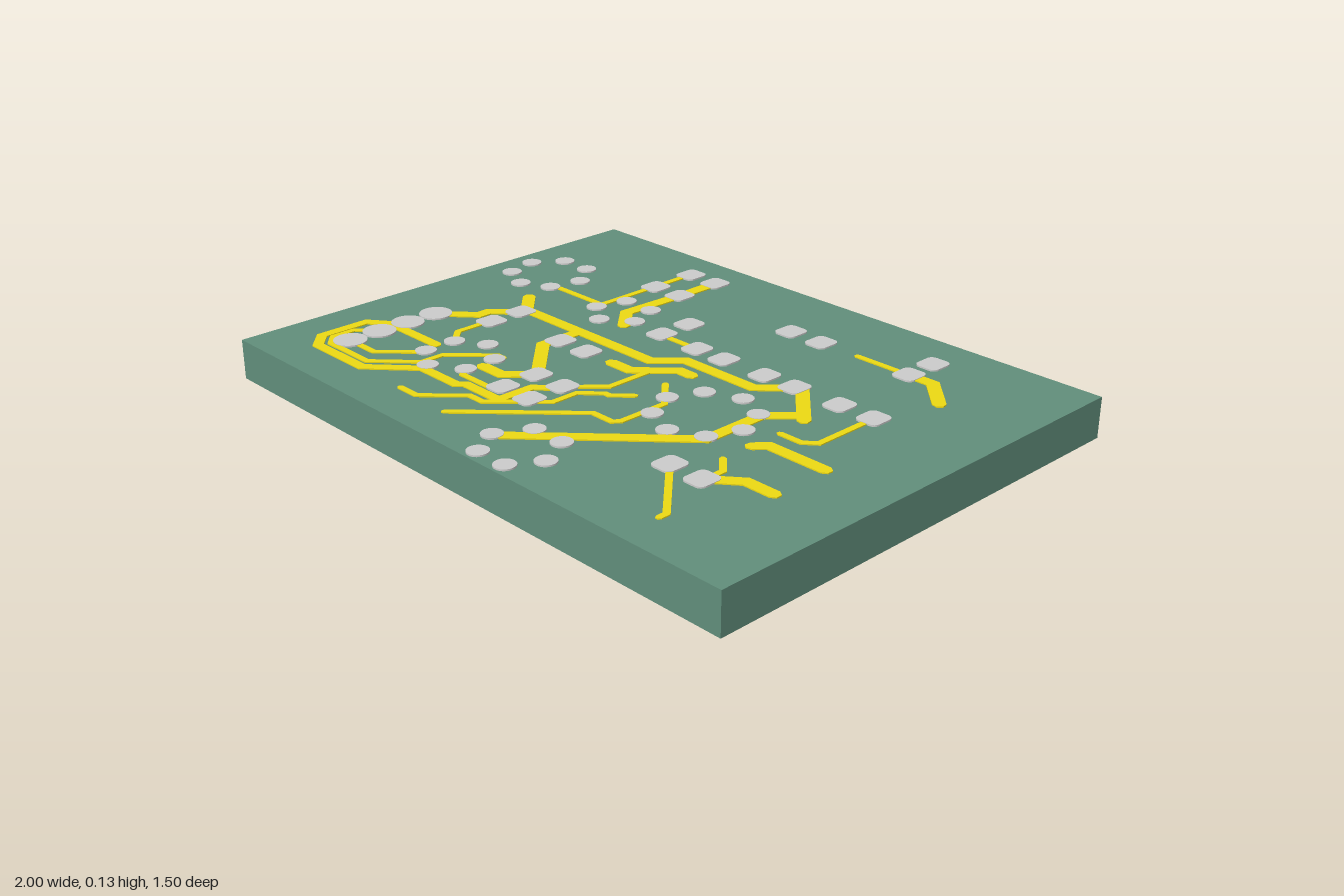
import * as THREE from 'three';

const BOARD_TOP = 0.125, TRACE_H = 0.0035, PAD_H = 0.005;

// Wide and narrow copper tracks as [x, z] paths
const WIDE = [
  [[-0.36, -0.61], [-0.36, -0.45], [-0.37, -0.23], [-0.295, -0.15]],
  [[-0.685, -0.1], [-0.6, -0.02], [-0.04, -0.02], [0.03, -0.095], [0.295, -0.095], [0.395, -0.19], [0.54, -0.035]],
  [[0.52, -0.06], [0.44, 0.025], [0.44, 0.235], [0.05, 0.61]],
  [[-0.6, 0.005], [-0.67, 0.075], [-0.67, 0.115], [-0.77, 0.205]],
  [[-0.35, -0.02], [-0.35, 0.125], [-0.19, 0.28], [-0.26, 0.355], [-0.345, 0.355]],
  [[-0.11, 0.07], [-0.03, 0.07], [0.07, -0.03], [0.12, -0.03]],
  [[0.54, -0.48], [0.625, -0.48], [0.725, -0.38]],
  [[0.55, 0.18], [0.58, 0.145], [0.775, 0.145]],
  [[0.6, 0.4], [0.68, 0.335], [0.775, 0.335]],
];
const MEDIUM = [
  [[-0.075, 0.3], [-0.13, 0.35], [-0.13, 0.47], [-0.275, 0.47], [-0.295, 0.49], [-0.45, 0.49],
    [-0.58, 0.61], [-0.805, 0.61], [-0.86, 0.56], [-0.86, 0.4], [-0.8, 0.355], [-0.565, 0.355]],
];
const NARROW = [
  [[-0.475, -0.61], [-0.475, -0.22], [-0.69, -0.22]],
  [[0.015, 0.03], [0.015, 0.19], [-0.07, 0.28]],
  [[0.11, 0.065], [0.205, 0.16], [0.205, 0.32], [0.19, 0.34], [0.115, 0.34], [-0.17, 0.625]],
  [[0.11, 0.18], [0.06, 0.23], [0.04, 0.23], [-0.015, 0.285], [-0.015, 0.37], [-0.15, 0.51],
    [-0.205, 0.51], [-0.31, 0.615], [-0.385, 0.615]],
  [[-0.77, 0.41], [-0.83, 0.465], [-0.83, 0.54], [-0.79, 0.575], [-0.605, 0.575], [-0.49, 0.465],
    [-0.49, 0.39], [-0.38, 0.275], [-0.35, 0.275]],
  [[-0.77, 0.52], [-0.65, 0.52], [-0.55, 0.42]],
  [[-0.605, 0.12], [-0.605, 0.245], [-0.55, 0.3]],
  [[-0.36, 0.405], [-0.335, 0.435], [-0.19, 0.435]],
  [[-0.165, -0.18], [-0.01, -0.18]],
  [[0.35, -0.48], [0.54, -0.48]],
  [[0.66, -0.18], [0.66, 0.04], [0.625, 0.07], [0.55, 0.07]],
  [[0.55, 0.285], [0.6, 0.335], [0.6, 0.4]],
  [[0.48, 0.405], [0.665, 0.595], [0.665, 0.62]],
];

// Pad centres as [x, z]
const SQUARE_PADS = [
  [-0.47, -0.61], [-0.36, -0.61], [-0.47, -0.45], [-0.36, -0.45], [0.09, -0.48], [0.21, -0.48],
  [0.54, -0.59], [0.54, -0.48], [-0.165, -0.3], [-0.165, -0.185], [-0.01, -0.18], [0.1, -0.18],
  [0.26, -0.18], [0.375, -0.18], [0.54, -0.18], [0.66, -0.18], [-0.6, 0.005], [-0.6, 0.12],
  [-0.335, 0.07], [-0.22, 0.07], [-0.19, 0.285], [-0.075, 0.285], [-0.19, 0.405], [-0.075, 0.405],
  [0.48, 0.405], [0.595, 0.405],
];
const LARGE_PADS = [[-0.77, 0.205], [-0.77, 0.31], [-0.77, 0.415], [-0.77, 0.52]];
const SMALL_PADS = [
  [-0.86, -0.4], [-0.75, -0.4], [-0.925, -0.31], [-0.68, -0.31], [-0.9, -0.205], [-0.705, -0.205], [-0.8, -0.16],
  [-0.44, -0.295], [-0.33, -0.295], [-0.47, -0.195], [-0.295, -0.195], [-0.385, -0.13],
  [0.33, -0.02], [0.225, 0.025], [0.43, 0.025], [0.18, 0.125], [0.47, 0.125], [0.225, 0.225], [0.43, 0.225], [0.33, 0.27],
  [-0.46, 0.245], [-0.55, 0.3], [-0.36, 0.3], [-0.55, 0.405], [-0.36, 0.405], [-0.46, 0.465],
  [0.085, 0.52], [0.195, 0.52], [0.03, 0.62], [0.25, 0.62], [0.085, 0.71], [0.195, 0.71],
];

// Flat slab whose outline lies in the board plane
function slab(shape, depth) {
  return new THREE.ExtrudeGeometry(shape, { depth, bevelEnabled: false, curveSegments: 4 }).rotateX(-Math.PI / 2);
}

// Track outline: mitred corners along the path, blunt chamfered ends
function trackShape(path, width) {
  const h = width / 2;
  const pts = path.map(([x, z]) => new THREE.Vector2(x, -z));
  const dirs = pts.slice(1).map((p, i) => p.clone().sub(pts[i]).normalize());
  const left = [], right = [];
  const put = (p, n, s) => {
    left.push(p.clone().addScaledVector(n, s));
    right.push(p.clone().addScaledVector(n, -s));
  };
  pts.forEach((p, i) => {
    const a = dirs[Math.max(i - 1, 0)], b = dirs[Math.min(i, dirs.length - 1)];
    const n = new THREE.Vector2(-a.y - b.y, a.x + b.x).normalize();
    const mitre = h / (n.x * -a.y + n.y * a.x);
    if (i === 0) put(p.clone().addScaledVector(a, -h * 0.8), n, h * 0.45);
    put(p, n, mitre);
    if (i === pts.length - 1) put(p.clone().addScaledVector(b, h * 0.8), n, h * 0.45);
  });
  return new THREE.Shape([...right, ...left.reverse()]);
}

// Rectangular pad outline with rounded corners
function padShape(w, d, r) {
  const s = new THREE.Shape(), x = w / 2, y = d / 2;
  s.moveTo(-x + r, -y);
  s.absarc(x - r, -y + r, r, -Math.PI / 2, 0);
  s.absarc(x - r, y - r, r, 0, Math.PI / 2);
  s.absarc(-x + r, y - r, r, Math.PI / 2, Math.PI);
  s.absarc(-x + r, -y + r, r, Math.PI, Math.PI * 1.5);
  return s;
}

export function createModel() {
  const model = new THREE.Group();
  model.name = 'circuitBoard';
  const green = new THREE.MeshStandardMaterial({ color: 0x618e7b });
  const yellow = new THREE.MeshStandardMaterial({ color: 0xedd913 });
  const grey = new THREE.MeshStandardMaterial({ color: 0xcccccc });

  const add = (parent, name, geometry, material, x, y, z) => {
    const mesh = new THREE.Mesh(geometry, material);
    mesh.name = name;
    mesh.position.set(x, y, z);
    parent.add(mesh);
  };
  const group = (name) => {
    const g = new THREE.Group();
    g.name = name;
    model.add(g);
    return g;
  };

  // Board
  add(model, 'board', new THREE.BoxGeometry(2, BOARD_TOP, 1.5), green, 0, BOARD_TOP / 2, 0);

  // Copper tracks
  const tracks = group('tracks');
  for (const [name, paths, width] of [['wideTrack', WIDE, 0.04], ['mediumTrack', MEDIUM, 0.032], ['narrowTrack', NARROW, 0.02]]) {
    for (const path of paths) add(tracks, name, slab(trackShape(path, width), TRACE_H), yellow, 0, BOARD_TOP, 0);
  }

  // Solder pads
  const pads = group('pads');
  const square = slab(padShape(0.075, 0.083, 0.02), PAD_H);
  for (const [x, z] of SQUARE_PADS) add(pads, 'squarePad', square, grey, x, BOARD_TOP, z);
  for (const [name, centres, r] of [['largeRoundPad', LARGE_PADS, 0.051], ['smallRoundPad', SMALL_PADS, 0.032]]) {
    const disc = new THREE.CylinderGeometry(r, r, PAD_H, 24);
    for (const [x, z] of centres) add(pads, name, disc, grey, x, BOARD_TOP + PAD_H / 2, z);
  }
  return model;
}
